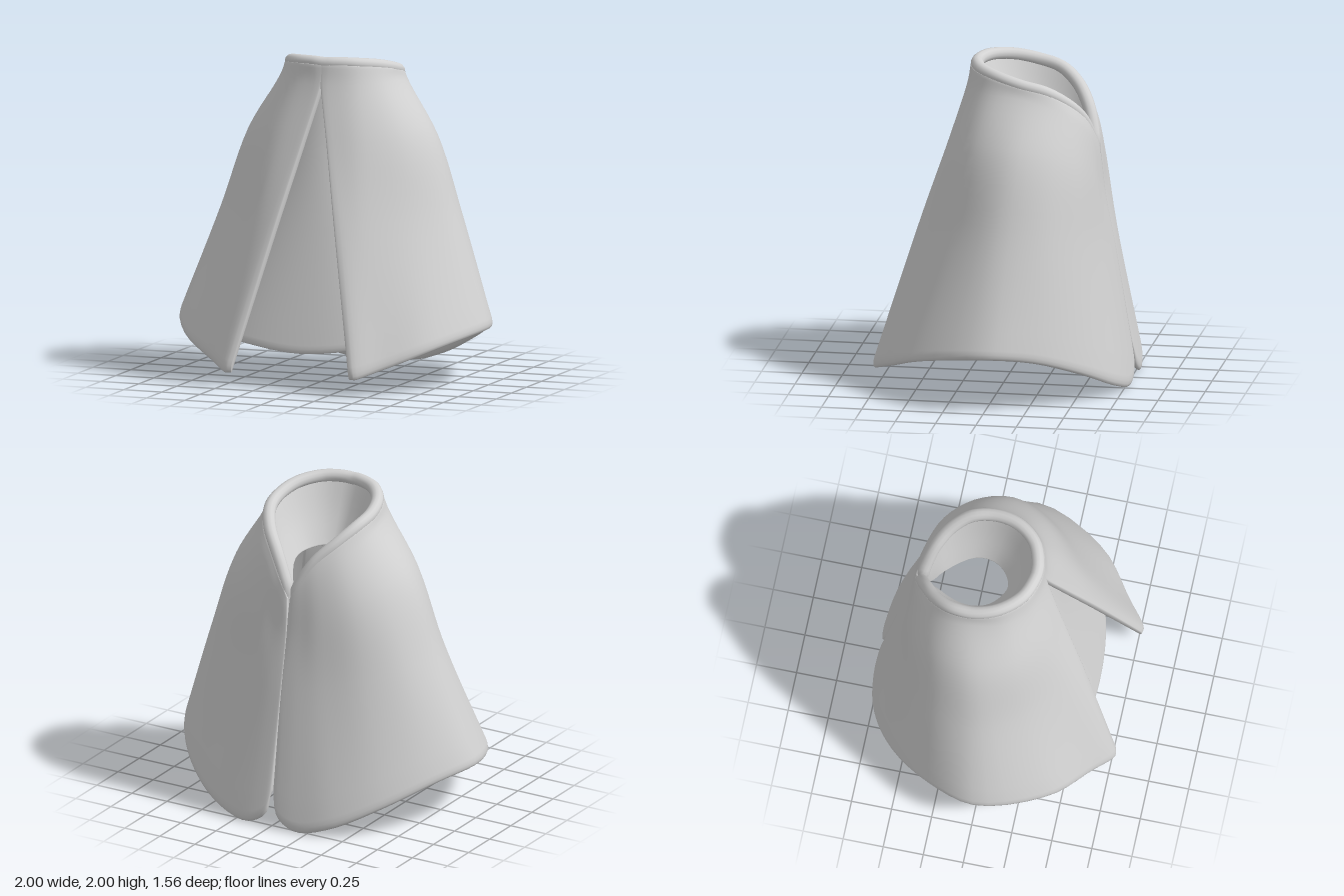
import * as THREE from 'three';
import { mergeVertices } from 'three/addons/utils/BufferGeometryUtils.js';

const V = (p) => new THREE.Vector3(...p);
const spline = (pts) => new THREE.CatmullRomCurve3(pts);

// Sample positions, crowded at both ends so that the edges can be rounded
function samples(n, edge) {
  const ends = [0, 0.07, 0.25, 0.55, 1].map((e) => e * edge);
  const out = [...ends];
  for (let i = 1; i < n; i++) out.push(edge + (1 - 2 * edge) * (i / n));
  return out.concat(ends.map((e) => 1 - e).reverse());
}

// Thick cloth with rounded edges, lofted through rows of points (top to hem).
// side = -1 builds the mirrored piece.
function cloth(rows, half, side = 1, nu = 40, nv = 24, edge = 0.02) {
  const curves = rows.map((r) => spline(r.map(V)));
  const us = samples(nu, edge), vs = samples(nv, edge);
  const column = (u) => spline(curves.map((c) => c.getPoint(u)));
  const round = (t) => {
    const d = Math.min(1, Math.min(t, 1 - t) / edge);
    return Math.sqrt(Math.max(0, 1 - (1 - d) ** 2));
  };
  const outer = [], inner = [], index = [];
  const e = 0.004;
  for (const u of us) {
    const u0 = Math.max(0, u - e), u1 = Math.min(1, u + e);
    const c = column(u), c0 = column(u0), c1 = column(u1);
    for (const v of vs) {
      const p = c.getPoint(v);
      const du = c1.getPoint(v).sub(c0.getPoint(v));
      const dv = c.getPoint(Math.min(1, v + e)).sub(c.getPoint(Math.max(0, v - e)));
      const n = dv.cross(du).normalize();
      const h = half * Math.min(round(u), round(v));
      const a = p.clone().addScaledVector(n, h - half);
      const b = p.clone().addScaledVector(n, -h - half);
      outer.push(a.x * side, a.y, a.z);
      inner.push(b.x * side, b.y, b.z);
    }
  }
  const w = vs.length, off = us.length * w;
  const tri = (a, b, c) => (side > 0 ? index.push(a, b, c) : index.push(a, c, b));
  for (let i = 0; i < us.length - 1; i++) {
    for (let j = 0; j < w - 1; j++) {
      const a = i * w + j, b = a + w, c = a + 1, d = b + 1;
      tri(a, c, b); tri(b, c, d);
      tri(a + off, b + off, c + off); tri(b + off, d + off, c + off);
    }
  }
  let g = new THREE.BufferGeometry();
  g.setAttribute('position', new THREE.Float32BufferAttribute(outer.concat(inner), 3));
  g.setIndex(index);
  g = mergeVertices(g, 1e-5);
  g.computeVertexNormals();
  return g;
}

// Mirrors a half row (centre first) into a full row from -x to +x
const fullRow = (h) => [...h.slice(1).reverse().map(([x, y, z]) => [-x, y, z]), ...h];

export function createModel() {
  const model = new THREE.Group();
  model.name = 'cloak';
  const grey = new THREE.MeshStandardMaterial({ color: 0xd2d2d2, side: THREE.DoubleSide });
  grey.name = 'grey cloth';
  const add = (name, geometry) => {
    const m = new THREE.Mesh(geometry, grey);
    m.name = name;
    model.add(m);
  };

  // Half outline rows, running from the front opening round to the back seam
  const rim = [[-0.03, 1.96, 0.238], [0.06, 1.96, 0.235], [0.2, 1.955, 0.18], [0.315, 1.935, 0.045],
    [0.36, 1.9, -0.12], [0.34, 1.86, -0.28], [0.265, 1.78, -0.405], [0.155, 1.67, -0.495],
    [0.075, 1.55, -0.54], [0.03, 1.48, -0.555], [0.006, 1.43, -0.558]];
  const neck = [[-0.008, 1.84, 0.26], [0.05, 1.84, 0.257], [0.21, 1.84, 0.21], [0.335, 1.85, 0.075],
    [0.38, 1.84, -0.12], [0.37, 1.79, -0.285], [0.295, 1.7, -0.43], [0.175, 1.58, -0.52],
    [0.085, 1.46, -0.555], [0.03, 1.39, -0.567], [0.001, 1.35, -0.568]];
  const shoulder = [[0.072, 1.5, 0.362], [0.125, 1.5, 0.357], [0.29, 1.5, 0.315], [0.5, 1.5, 0.15],
    [0.595, 1.5, -0.09], [0.545, 1.47, -0.31], [0.415, 1.4, -0.475], [0.225, 1.33, -0.557],
    [0.105, 1.22, -0.582], [0.03, 1.18, -0.59], [-0.003, 1.16, -0.59]];
  const middle = [[0.188, 1, 0.525], [0.24, 1, 0.518], [0.38, 1, 0.455], [0.63, 1, 0.235],
    [0.768, 1, -0.04], [0.7, 1, -0.315], [0.515, 0.95, -0.51], [0.275, 0.9, -0.61],
    [0.12, 0.85, -0.645], [0.035, 0.8, -0.658], [-0.003, 0.8, -0.657]];
  const hem = [[0.385, 0.11, 0.785], [0.43, 0.112, 0.79], [0.575, 0.165, 0.67], [0.825, 0.27, 0.455],
    [1.01, 0.345, 0.02], [0.91, 0.31, -0.3], [0.69, 0.19, -0.58], [0.42, 0.06, -0.745],
    [0.18, 0.003, -0.793], [0.045, 0.07, -0.785], [0.002, 0.22, -0.75]];

  // Outer panels
  const rows = [rim, neck, shoulder, middle, hem];
  add('leftPanel', cloth(rows, 0.025, 1));
  add('rightPanel', cloth(rows, 0.025, -1));

  // Rolled collar, its ends buried in the back edges
  const roll = [[0, 1.957, 0.202], ...rim.slice(1).map(([x, y, z]) =>
    [Math.max(0.9 * x, 0.036), y, -0.15 + (z + 0.15) * 0.9]), [0.04, 1.22, -0.545]];
  add('collarRoll', new THREE.TubeGeometry(spline(fullRow(roll).map(V)), 90, 0.04, 12));

  // Funnel-shaped lining inside the neck
  const liningTop = roll.slice(0, 11);
  const liningBottom = [[0, 1.57, 0.025], [0.03, 1.57, 0.02], [0.085, 1.57, -0.01], [0.14, 1.56, -0.07],
    [0.165, 1.55, -0.15], [0.16, 1.53, -0.23], [0.115, 1.48, -0.33], [0.06, 1.43, -0.41],
    [0.03, 1.38, -0.45], [0.015, 1.36, -0.48], [0.005, 1.34, -0.5]];
  const liningMid = liningTop.map(([x, y, z], i) => {
    const [a, b, c] = liningBottom[i];
    return [x * 0.55 + a * 0.45, (y + b) / 2, z * 0.55 + c * 0.45];
  });
  add('neckLining', cloth([liningTop, liningMid, liningBottom].map(fullRow), 0.006, 1, 40, 8));

  // Inner flap behind the front opening
  const flap = [
    [[0, 1.89, 0.215], [0.14, 1.88, 0.18], [0.25, 1.86, 0.09]],
    [[0, 1.45, 0.31], [0.17, 1.45, 0.27], [0.32, 1.45, 0.15]],
    [[0, 1, 0.41], [0.22, 1, 0.38], [0.44, 1, 0.275]],
    [[0, 0.22, 0.6], [0.35, 0.255, 0.565], [0.66, 0.31, 0.455]],
  ];
  add('frontFlap', cloth(flap.map(fullRow), 0.015, 1, 20, 16));

  return model;
}
